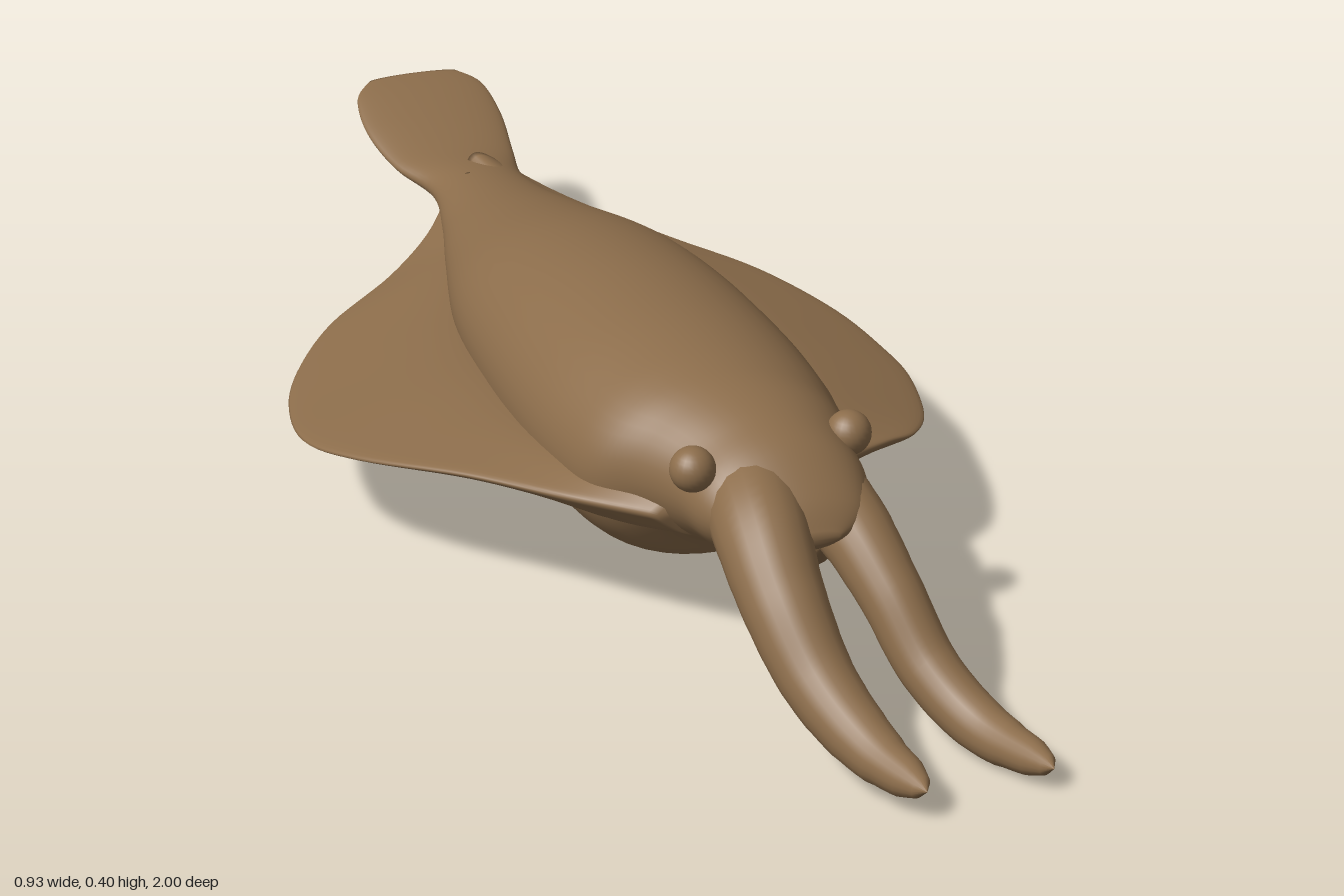
import * as THREE from 'three';

const skin = new THREE.MeshStandardMaterial({ color: 0x8c6d4b });
skin.name = 'brown skin';

// Smoothly sample a table of stations: each row is blended with Catmull-Rom.
function smoothRows(rows, steps) {
  const out = [];
  const last = rows.length - 1;
  const row = (i) => rows[Math.min(last, Math.max(0, i))];
  for (let i = 0; i < last; i++) {
    for (let s = 0; s < steps; s++) {
      const t = s / steps;
      out.push(rows[i].map((p1, k) => {
        const p0 = row(i - 1)[k], p2 = row(i + 1)[k], p3 = row(i + 2)[k];
        return 0.5 * (2 * p1 + (p2 - p0) * t + (2 * p0 - 5 * p1 + 4 * p2 - p3) * t * t
          + (3 * p1 - p0 - 3 * p2 + p3) * t * t * t);
      }));
    }
  }
  out.push(rows[last]);
  return out;
}

// Skin closed rings running from front to back; point(row, angle) gives [x, y, z].
function loft(rows, sides, point) {
  const pos = [], index = [];
  rows.forEach((r) => {
    for (let j = 0; j < sides; j++) pos.push(...point(r, (j / sides) * Math.PI * 2));
  });
  for (let i = 0; i < rows.length - 1; i++) {
    for (let j = 0; j < sides; j++) {
      const k = (j + 1) % sides;
      const a = i * sides + j, b = a + sides, c = i * sides + k, d = c + sides;
      index.push(a, b, c, b, d, c);
    }
  }
  // Close both ends with a fan
  [0, rows.length - 1].forEach((i) => {
    const centre = pos.length / 3, mid = [0, 0, 0];
    for (let j = 0; j < sides; j++) {
      for (let k = 0; k < 3; k++) mid[k] += pos[(i * sides + j) * 3 + k] / sides;
    }
    pos.push(...mid);
    for (let j = 0; j < sides; j++) {
      const a = i * sides + j, b = i * sides + (j + 1) % sides;
      if (i === 0) index.push(centre, a, b);
      else index.push(centre, b, a);
    }
  });
  const g = new THREE.BufferGeometry();
  g.setAttribute('position', new THREE.Float32BufferAttribute(pos, 3));
  g.setIndex(index);
  g.computeVertexNormals();
  return g;
}

// Tube whose radius follows a list of values and closes to a rounded tip.
function taperedTube(points, radii) {
  const curve = new THREE.CatmullRomCurve3(points.map((p) => new THREE.Vector3(...p)));
  const n = 48, sides = 20;
  const g = new THREE.TubeGeometry(curve, n, 1, sides, false);
  const pos = g.attributes.position, v = new THREE.Vector3();
  const table = smoothRows(radii.map((r) => [r]), 12);
  for (let i = 0; i <= n; i++) {
    const t = i / n, c = curve.getPointAt(t);
    const tip = t > 0.92 ? Math.sqrt(Math.max(0, 1 - ((t - 0.92) / 0.08) ** 2)) : 1;
    const r = table[Math.round(t * (table.length - 1))][0] * tip;
    for (let j = 0; j <= sides; j++) {
      const k = i * (sides + 1) + j;
      v.fromBufferAttribute(pos, k).sub(c).multiplyScalar(r).add(c);
      pos.setXYZ(k, v.x, v.y, v.z);
    }
  }
  return g;
}

export function createModel() {
  const model = new THREE.Group();
  const add = (name, geometry) => {
    const mesh = new THREE.Mesh(geometry, skin);
    mesh.name = name;
    model.add(mesh);
    return mesh;
  };

  // Head, mantle and paddle tail: z, centre x, half width, top y, bottom y
  const body = [
    [0.67, 0.06, 0.04, 0.26, 0.245],
    [0.64, 0.06, 0.09, 0.3, 0.22],
    [0.58, 0.055, 0.122, 0.345, 0.185],
    [0.52, 0.05, 0.135, 0.367, 0.17],
    [0.46, 0.04, 0.16, 0.382, 0.15],
    [0.4, 0.025, 0.19, 0.391, 0.1],
    [0.33, 0.02, 0.205, 0.397, 0.08],
    [0.2, 0.015, 0.213, 0.398, 0.074],
    [0, 0.012, 0.208, 0.385, 0.073],
    [-0.2, 0.01, 0.188, 0.352, 0.09],
    [-0.4, 0.01, 0.14, 0.297, 0.12],
    [-0.55, 0.01, 0.1, 0.258, 0.143],
    [-0.68, 0.01, 0.077, 0.235, 0.165],
    [-0.78, 0, 0.1, 0.228, 0.185],
    [-0.88, -0.003, 0.115, 0.247, 0.21],
    [-0.96, -0.003, 0.107, 0.265, 0.24],
    [-1, -0.003, 0.075, 0.27, 0.258],
  ];
  add('body', loft(smoothRows(body, 6), 48, ([z, cx, w, top, bot], a) => [
    cx + w * Math.cos(a), (top + bot) / 2 + ((top - bot) / 2) * Math.sin(a), z,
  ]));

  // Side fins: z, root x, root y, edge x, edge y
  const fins = {
    leftFin: [
      [0.44, 0.1, 0.215, 0.17, 0.22],
      [0.4, 0.1, 0.21, 0.23, 0.217],
      [0.36, 0.12, 0.205, 0.3, 0.208],
      [0.31, 0.12, 0.2, 0.36, 0.187],
      [0.2, 0.13, 0.195, 0.42, 0.155],
      [0.05, 0.13, 0.185, 0.46, 0.135],
      [-0.05, 0.13, 0.18, 0.463, 0.13],
      [-0.2, 0.11, 0.175, 0.44, 0.132],
      [-0.35, 0.08, 0.175, 0.37, 0.145],
      [-0.47, 0.04, 0.175, 0.27, 0.16],
      [-0.62, 0.02, 0.19, 0.15, 0.18],
      [-0.72, 0, 0.205, 0.08, 0.2],
    ],
    rightFin: [
      [0.5, -0.03, 0.23, -0.1, 0.23],
      [0.4, -0.1, 0.215, -0.2, 0.225],
      [0.27, -0.12, 0.205, -0.305, 0.212],
      [0.12, -0.12, 0.195, -0.42, 0.182],
      [0, -0.12, 0.19, -0.468, 0.16],
      [-0.15, -0.11, 0.18, -0.45, 0.142],
      [-0.27, -0.08, 0.175, -0.4, 0.14],
      [-0.38, -0.05, 0.175, -0.32, 0.147],
      [-0.48, -0.03, 0.175, -0.2, 0.16],
      [-0.57, -0.01, 0.185, -0.11, 0.18],
      [-0.66, 0, 0.2, -0.05, 0.2],
    ],
  };
  for (const [name, rows] of Object.entries(fins)) {
    add(name, loft(smoothRows(rows, 6), 40, ([z, rx, ry, ex, ey], a) => {
      const t = (Math.cos(a) + 1) / 2;
      const thick = 0.014 + 0.045 * (1 - t) ** 1.5;
      const side = Math.sign(ex - rx);
      return [rx + (ex - rx) * t, ry + (ey - ry) * t ** 1.5 + side * thick * Math.sin(a), z];
    }));
  }

  // Two curved arms reaching forward from the head
  add('rightArm', taperedTube(
    [[0.03, 0.28, 0.48], [0.005, 0.255, 0.62], [0.005, 0.19, 0.71], [0.025, 0.11, 0.8], [0.06, 0.06, 0.9], [0.098, 0.045, 1]],
    [0.07, 0.068, 0.06, 0.052, 0.042, 0.024]));
  add('leftArm', taperedTube(
    [[0.09, 0.28, 0.48], [0.135, 0.24, 0.6], [0.165, 0.17, 0.69], [0.195, 0.085, 0.77], [0.235, 0.038, 0.86], [0.286, 0.034, 0.985]],
    [0.07, 0.056, 0.046, 0.042, 0.037, 0.022]));

  // Funnel tucked below the head
  add('funnel', taperedTube(
    [[0.08, 0.16, 0.38], [0.1, 0.165, 0.48], [0.12, 0.175, 0.56]],
    [0.06, 0.045, 0.03]));

  // Bulging eyes
  [['rightEye', -0.072, 0.33, 0.56], ['leftEye', 0.17, 0.325, 0.52]].forEach(([name, x, y, z]) => {
    add(name, new THREE.SphereGeometry(0.032, 24, 16)).position.set(x, y, z);
  });

  return model;
}
